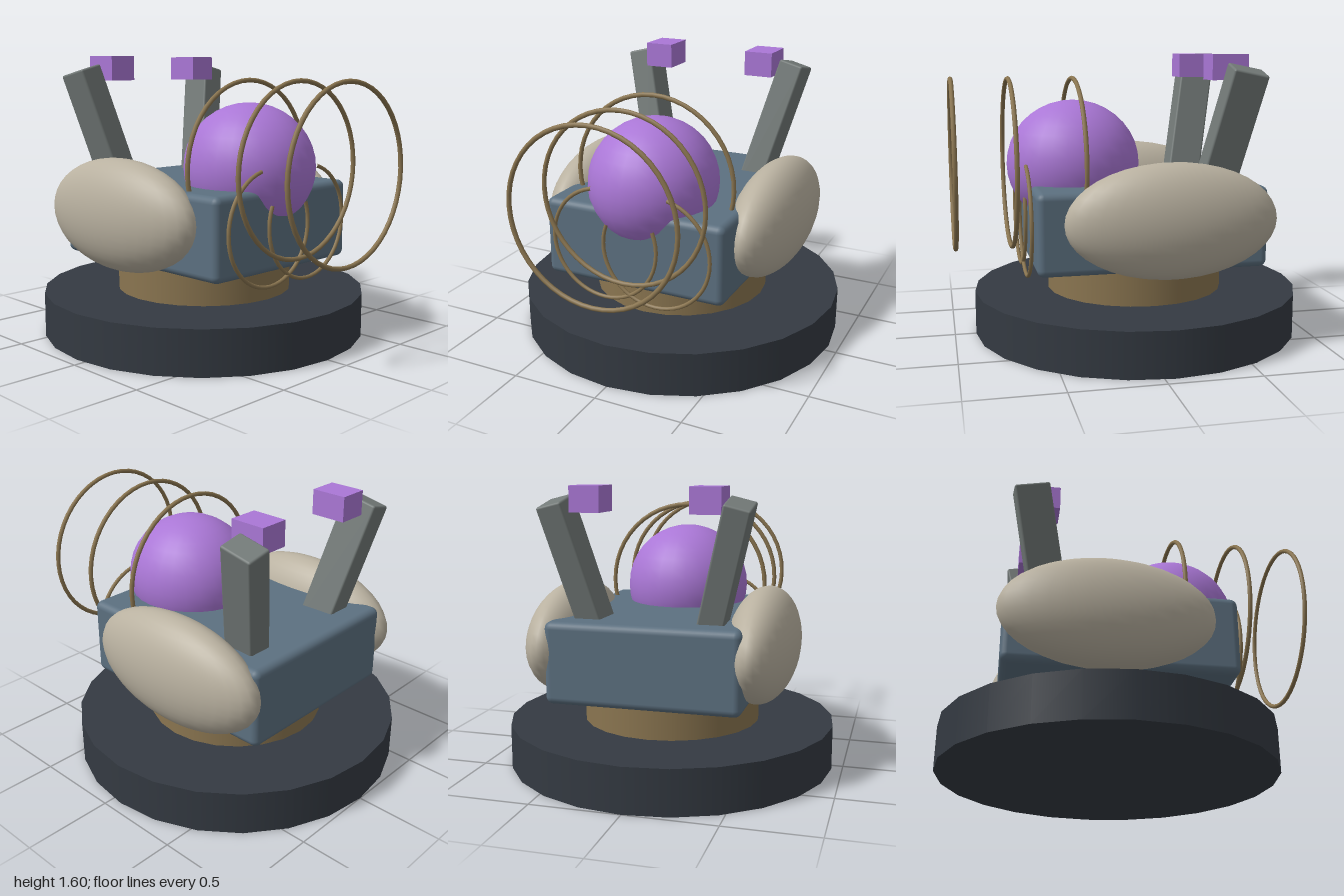
import * as THREE from 'three';
import { RoundedBoxGeometry } from 'three/addons/geometries/RoundedBoxGeometry.js';

const paint = (name, color) => {
  const m = new THREE.MeshStandardMaterial({ color });
  m.name = name;
  return m;
};

export function createModel() {
  const model = new THREE.Group();
  model.name = 'turret';

  const charcoal = paint('charcoal', 0x343a42);
  const brass = paint('brass', 0x8a7550);
  const slate = paint('slate blue', 0x5c7080);
  const violet = paint('violet', 0xaa77d6);
  const bone = paint('bone', 0xb9b1a0);
  const grey = paint('grey', 0x737a78);

  const add = (name, geometry, material, x, y, z) => {
    const mesh = new THREE.Mesh(geometry, material);
    mesh.name = name;
    mesh.position.set(x, y, z);
    model.add(mesh);
    return mesh;
  };

  // Round base and pedestal
  add('base', new THREE.CylinderGeometry(0.94, 0.94, 0.25, 24), charcoal, 0, 0.125, -0.06);
  add('pedestal', new THREE.CylinderGeometry(0.51, 0.51, 0.25, 24), brass, 0, 0.365, -0.055);

  // Body block with the large orb sunk into its front
  add('body', new RoundedBoxGeometry(1.07, 0.45, 1.27, 3, 0.04), slate, 0, 0.665, -0.055);
  add('orb', new THREE.SphereGeometry(1, 28, 18), violet, 0, 0.983, 0.305).scale.set(0.36, 0.36, 0.38);

  // Three hoops in a row along the front axis
  const hoop = new THREE.TorusGeometry(0.475, 0.013, 8, 48);
  [0.305, 0.67, 0.985].forEach((z, i) => add('hoop' + (i + 1), hoop, brass, 0, 0.99, z));

  // Mirrored parts
  for (const s of [1, -1]) {
    const side = s > 0 ? 'left' : 'right';

    // Egg-shaped side pod
    add(side + 'Pod', new THREE.SphereGeometry(1, 32, 20), bone, s * 0.56, 0.725, -0.14)
      .scale.set(0.19, 0.315, 0.582);

    // Arm leaning outward and back
    add(side + 'Arm', new RoundedBoxGeometry(0.145, 0.8, 0.2, 2, 0.012), grey, s * 0.4, 1.14, -0.493)
      .rotation.set(-0.2, 0, -s * 0.25);

    // Floating block beside the arm tip
    add(side + 'Block', new THREE.BoxGeometry(0.166, 0.14, 0.205), violet, s * 0.323, 1.53, -0.5);

    // Open claw ring on the front face
    const start = s > 0 ? Math.PI * (1 - 382 / 180) : Math.PI * 103 / 180;
    add(side + 'Claw', new THREE.TorusGeometry(0.315, 0.011, 8, 40, Math.PI * 1.55), brass, s * 0.155, 0.69, 0.6)
      .rotation.z = start;
  }

  return model;
}
